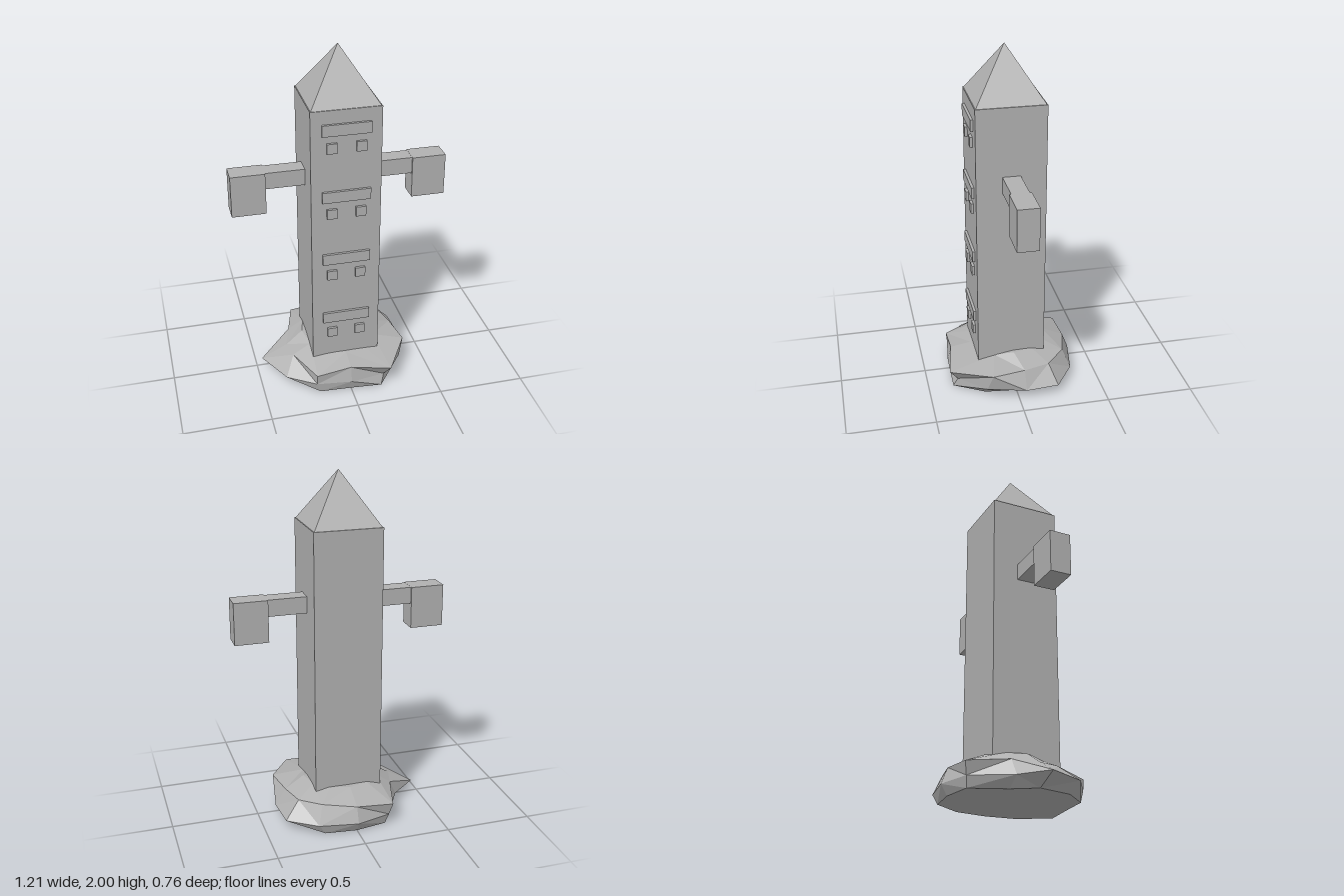
import * as THREE from 'three';

const stone = new THREE.MeshStandardMaterial({ color: 0xb0b0b0, flatShading: true });
stone.name = 'grey stone';

// Box given by its minimum and maximum corners
function box(name, x0, x1, y0, y1, z0, z1) {
  const mesh = new THREE.Mesh(new THREE.BoxGeometry(x1 - x0, y1 - y0, z1 - z0), stone);
  mesh.position.set((x0 + x1) / 2, (y0 + y1) / 2, (z0 + z1) / 2);
  mesh.name = name;
  return mesh;
}

// Faceted rock: four rings of twelve corners, closed by a fan at each end
function rockGeometry() {
  const bottom = [[0, .34], [.18, .355], [.28, .18], [.3, 0], [.28, -.18], [.18, -.33],
    [0, -.35], [-.18, -.32], [-.26, -.12], [-.34, .01], [-.3, .2], [-.18, .33]];
  const middle = [[0, .36], [.2, .33], [.34, .18], [.4, -.04], [.385, -.23], [.22, -.345],
    [0, -.385], [-.2, -.33], [-.32, -.11], [-.47, .015], [-.36, .23], [-.2, .335]];
  const shoulder = [[0, .34, .15], [.23, .38, .13], [.37, .15, .16], [.34, -.04, .16], [.3, -.19, .16], [.19, -.3, .17],
    [0, -.35, .15], [-.22, -.345, .13], [-.28, -.12, .15], [-.32, .02, .14], [-.3, .13, .14], [-.2, .34, .12]];
  const crown = shoulder.map((p, i) => {
    const a = i * Math.PI / 6;
    return [Math.sin(a) * .22, .21 - .04 * Math.max(0, Math.cos(a)), Math.cos(a) * .22];
  });
  const rings = [
    bottom.map(([x, z]) => [x, 0, z]),
    middle.map(([x, z]) => [x, .06, z]),
    shoulder.map(([x, z, y]) => [x, y, z]),
    crown,
  ];
  const n = 12, pos = [], index = [];
  rings.forEach(r => r.forEach(p => pos.push(...p)));
  pos.push(0, 0, 0, 0, .2, 0);
  for (let i = 0; i < n; i++) {
    const j = (i + 1) % n;
    for (let r = 0; r < 3; r++) {
      const a = r * n + i, b = r * n + j;
      if (i % 2) index.push(a, b, b + n, a, b + n, a + n);
      else index.push(a, b, a + n, b, b + n, a + n);
    }
    index.push(4 * n, j, i, 3 * n + i, 3 * n + j, 4 * n + 1);
  }
  const g = new THREE.BufferGeometry();
  g.setAttribute('position', new THREE.Float32BufferAttribute(pos, 3));
  g.setIndex(index);
  const flat = g.toNonIndexed();
  flat.computeVertexNormals();
  return flat;
}

export function createModel() {
  const model = new THREE.Group();
  model.name = 'stoneTower';

  const rock = new THREE.Mesh(rockGeometry(), stone);
  rock.name = 'rockBase';
  model.add(rock);

  model.add(box('column', -.195, .195, .08, 1.71, -.185, .205));

  // Pyramid roof
  const roofGeo = new THREE.ConeGeometry(.19 * Math.SQRT2, .29, 4);
  roofGeo.rotateY(Math.PI / 4);
  const roof = new THREE.Mesh(roofGeo, stone);
  roof.position.set(0, 1.855, .01);
  roof.name = 'roof';
  model.add(roof);

  // Four stacked faces, each with a brow and two eyes
  for (let i = 0; i < 4; i++) {
    const y = .4 + i * .39;
    const face = new THREE.Group();
    face.name = 'face' + (i + 1);
    face.add(box('brow', -.135, .135, y, y + .064, .2, .22));
    for (const s of [-1, 1]) {
      const x = s * .081;
      face.add(box(s > 0 ? 'leftEye' : 'rightEye', x - .028, x + .028, y - .1, y - .043, .2, .22));
    }
    model.add(face);
  }

  // Arms with hanging blocks
  for (const s of [-1, 1]) {
    const arm = new THREE.Group();
    arm.name = s > 0 ? 'leftArm' : 'rightArm';
    const beam = box('beam', .19, .42, 1.225, 1.32, -.04, .06);
    const hand = box('hand', .415, .607, 1.08, 1.321, -.05, .07);
    for (const m of [beam, hand]) m.position.x *= s;
    arm.add(beam, hand);
    model.add(arm);
  }
  return model;
}
